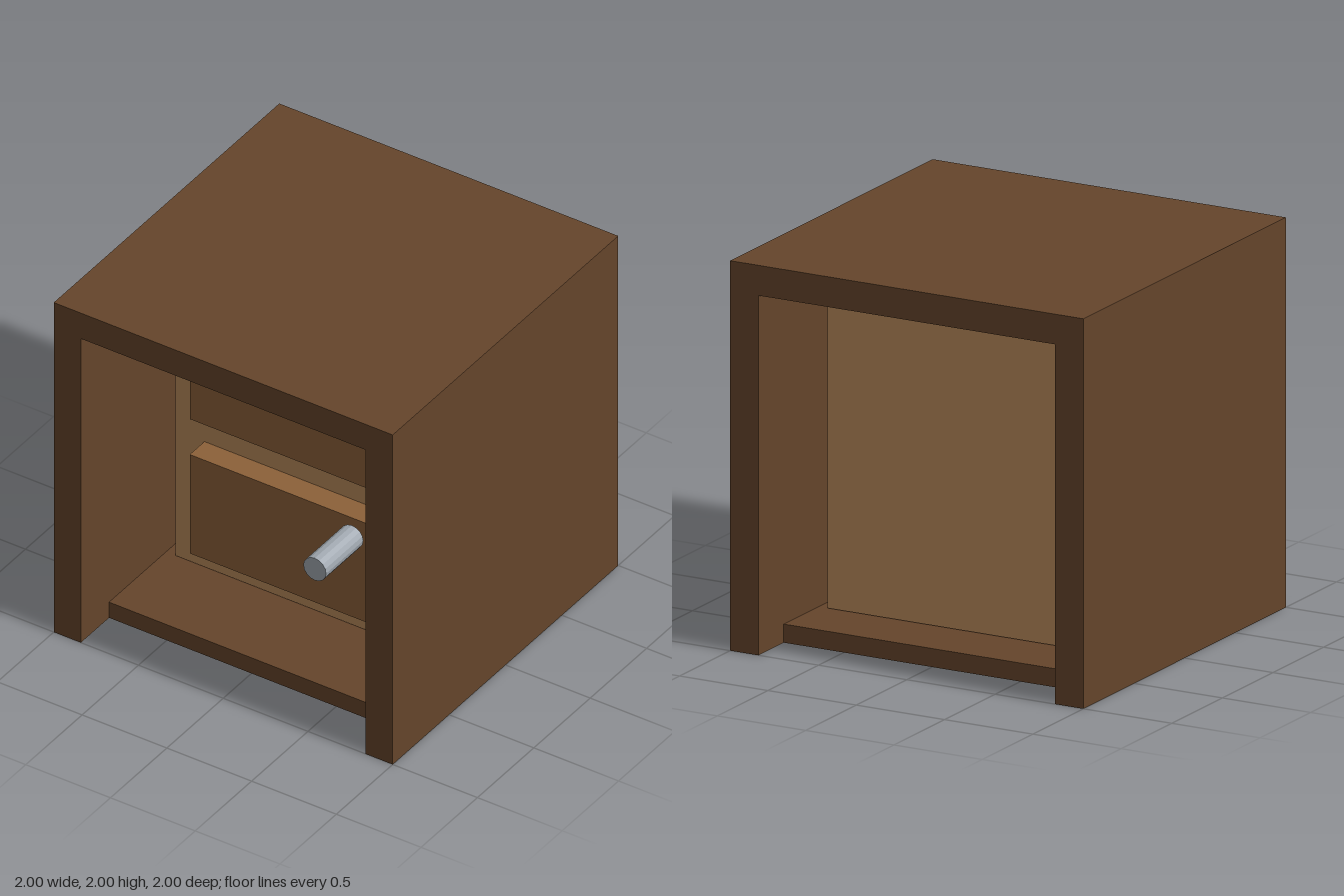
import * as THREE from 'three';

const material = (name, color) => {
  const m = new THREE.MeshStandardMaterial({ color });
  m.name = name;
  return m;
};

// Box given by its lower and upper limits on each axis
function box(name, mat, [x0, x1], [y0, y1], [z0, z1]) {
  const mesh = new THREE.Mesh(new THREE.BoxGeometry(x1 - x0, y1 - y0, z1 - z0), mat);
  mesh.position.set((x0 + x1) / 2, (y0 + y1) / 2, (z0 + z1) / 2);
  mesh.name = name;
  return mesh;
}

export function createModel() {
  const darkWood = material('dark wood', 0x65452b);
  const lightWood = material('light wood', 0xb98a5b);
  const panelWood = material('panel wood', 0x8c6139);
  const metal = material('grey metal', 0xa0a8b0);
  metal.flatShading = true;

  // Surround: two full side walls, a full-depth top and a shorter sill
  const frame = new THREE.Group();
  frame.name = 'frame';
  frame.add(
    box('leftWall', darkWood, [0.84, 1], [0, 2], [-1, 1]),
    box('rightWall', darkWood, [-1, -0.84], [0, 2], [-1, 1]),
    box('lintel', darkWood, [-0.84, 0.84], [1.845, 2], [-1, 1]),
    box('sill', darkWood, [-0.84, 0.84], [0, 0.095], [-0.75, 0.75])
  );

  // Door slab with two raised panels on its front
  const door = new THREE.Group();
  door.name = 'door';
  door.add(
    box('slab', lightWood, [-0.78, 0.78], [0.1, 1.82], [-0.42, 0.25]),
    box('upperPanel', panelWood, [-0.61, 0.605], [1.075, 1.61], [0.24, 0.38]),
    box('lowerPanel', panelWood, [-0.61, 0.605], [0.26, 0.86], [0.24, 0.38])
  );

  // Knob standing out in front of the door
  const knob = new THREE.Mesh(new THREE.CylinderGeometry(0.067, 0.067, 0.33, 16), metal);
  knob.rotation.x = Math.PI / 2;
  knob.position.set(0.54, 1, 0.835);
  knob.name = 'knob';
  door.add(knob);

  const model = new THREE.Group();
  model.name = 'framedDoor';
  model.add(frame, door);
  return model;
}
